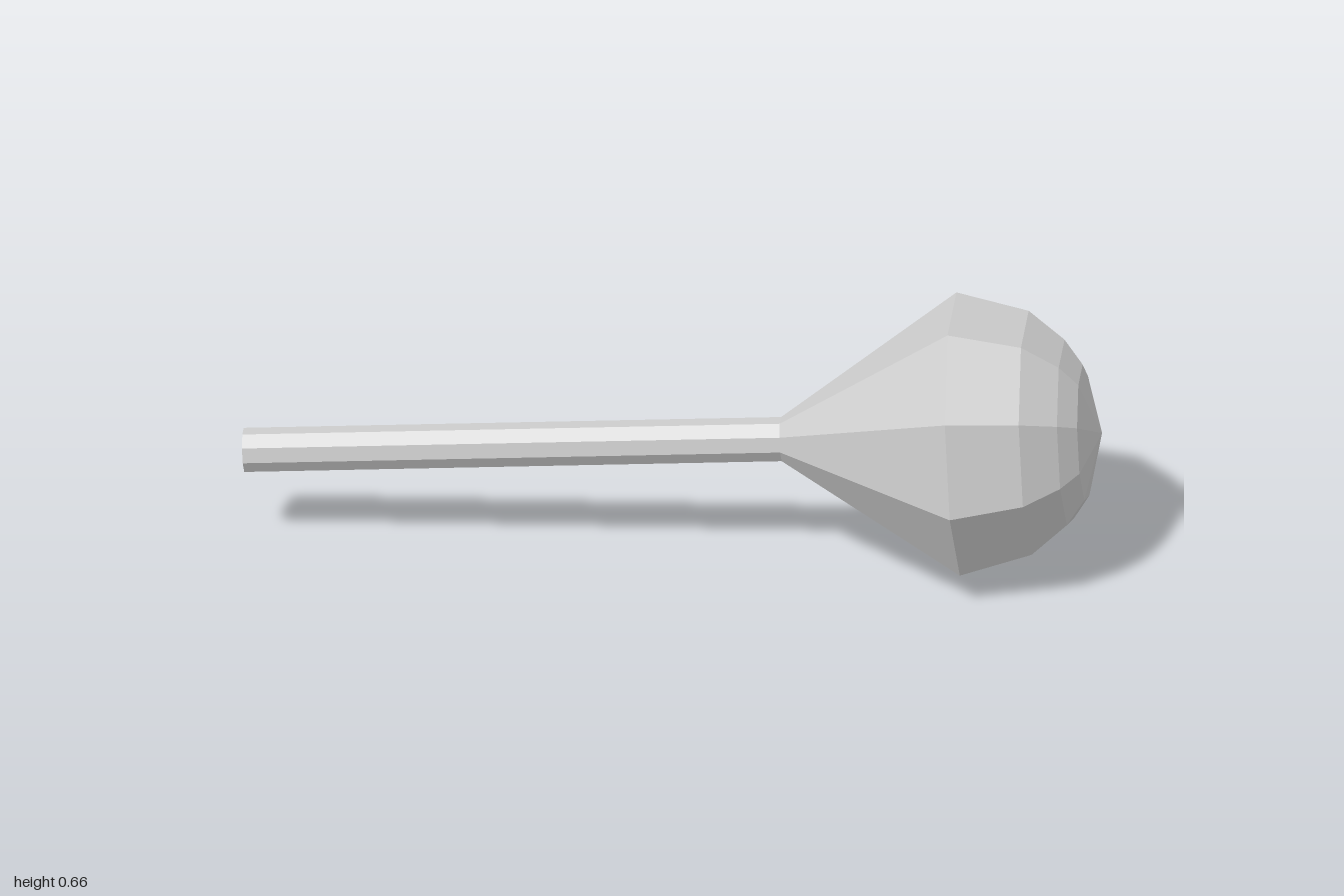
import * as THREE from 'three';

const SIDES = 9;
const HANDLE_RADIUS = 0.053;
const NECK = 1.275;        // distance along the axis where the head starts
const RIM = 1.70;          // widest ring of the head
const HEAD_RADIUS = 0.34;

const material = new THREE.MeshStandardMaterial({
  color: 0xcccccc, flatShading: true, side: THREE.DoubleSide,
});

function turned(name, profile) {
  const points = profile.map(([r, h]) => new THREE.Vector2(r, h));
  const mesh = new THREE.Mesh(new THREE.LatheGeometry(points, SIDES), material);
  mesh.name = name;
  return mesh;
}

export function createModel() {
  const group = new THREE.Group();
  group.name = 'mallet';

  // Straight hollow handle, open at the far end
  group.add(turned('handle', [[HANDLE_RADIUS, 0], [HANDLE_RADIUS, NECK]]));

  // Head: cone flaring from the handle, closed by a faceted dome
  const dome = [HEAD_RADIUS, 0.293, 0.223, 0.163, 0].map(
    (r) => [r, RIM + 0.985 * Math.sqrt(HEAD_RADIUS ** 2 - r ** 2)]);
  group.add(turned('head', [[HANDLE_RADIUS, NECK], ...dome]));

  // Lay the turning axis along the slanted pose, one corner pointing down
  const start = new THREE.Vector3(-0.99, 0.225, 0.295);
  const axis = new THREE.Vector3(1, 0.36, -0.085).sub(start).normalize();
  const down = new THREE.Vector3(0, -1, 0);
  down.addScaledVector(axis, -down.dot(axis)).normalize();
  const side = new THREE.Vector3().crossVectors(axis, down);
  group.quaternion.setFromRotationMatrix(new THREE.Matrix4().makeBasis(side, axis, down));
  group.position.copy(start);

  const model = new THREE.Group();
  model.name = 'model';
  model.add(group);
  return model;
}
